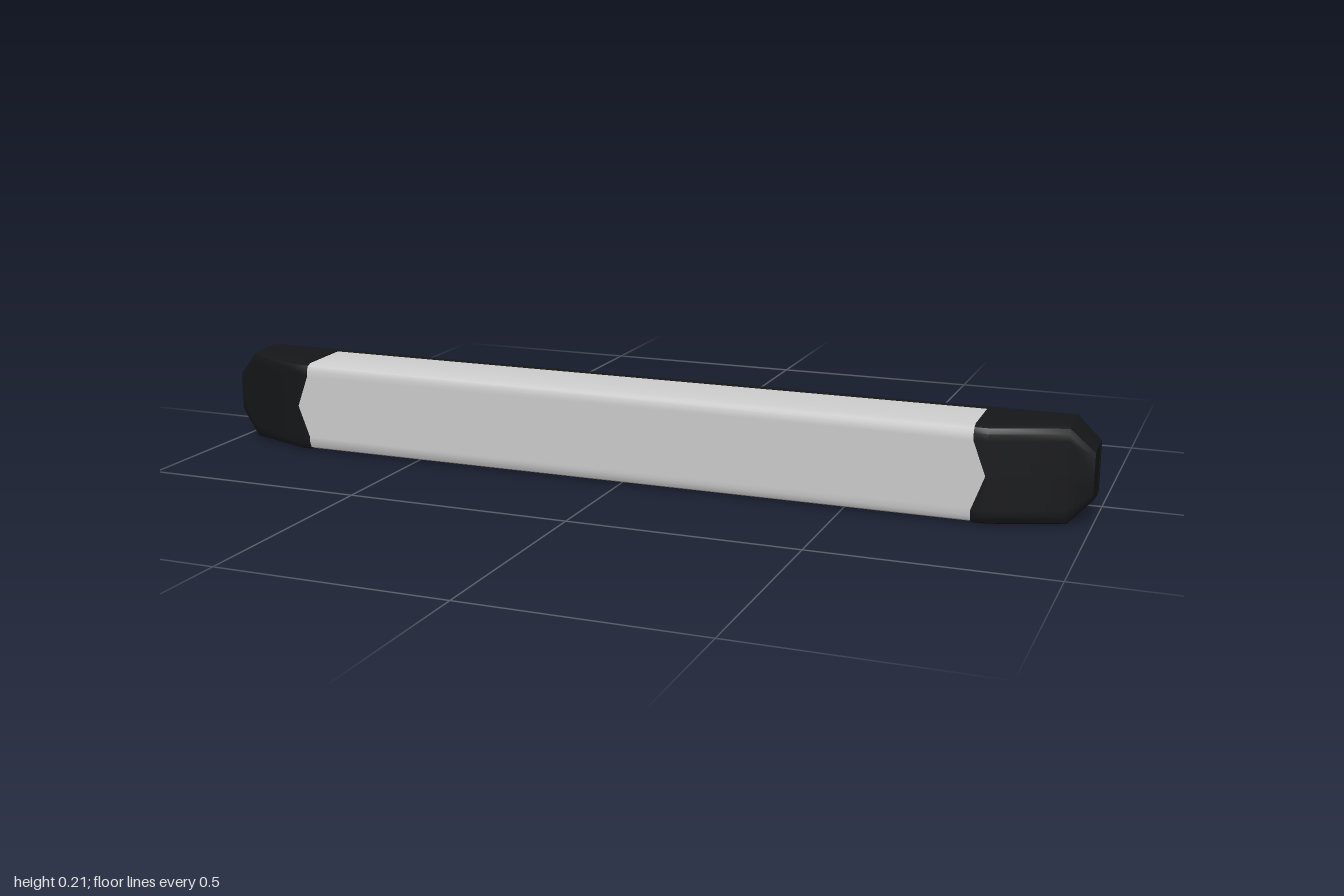
import * as THREE from 'three';
import { toCreasedNormals } from 'three/addons/utils/BufferGeometryUtils.js';

const CY = 0.108; // height of the lamp's long axis
const black = new THREE.MeshStandardMaterial({ color: 0x151618 });
const grey = new THREE.MeshStandardMaterial({ color: 0xcccccc });

// Housing cross-section as [z, y] pairs: flat back, slightly tapered sides, rounded front corners
function section(back, front, h) {
  const hf = h - 0.0035;
  const lower = [[back, -h], [front - 0.016, -hf], [front - 0.005, -hf + 0.005], [front, -hf + 0.016], [front, -h * 0.68]];
  const upper = lower.map(([z, y]) => [z, -y]).reverse();
  return [...lower, [front, 0], ...upper];
}

// Skin a list of rings (arrays of [x, y, z]) running towards +x and close both ends
function loft(rings) {
  const pos = [], index = [], n = rings[0].length;
  rings.forEach(r => r.forEach(p => pos.push(...p)));
  for (let i = 0; i < rings.length - 1; i++) {
    for (let j = 0; j < n; j++) {
      const a = i * n + j, b = i * n + (j + 1) % n;
      index.push(a, a + n, b, b, a + n, b + n);
    }
  }
  const last = (rings.length - 1) * n;
  for (let j = 1; j < n - 1; j++) {
    index.push(0, j, j + 1, last, last + j + 1, last + j);
  }
  const g = new THREE.BufferGeometry();
  g.setAttribute('position', new THREE.Float32BufferAttribute(pos, 3));
  g.setIndex(index);
  return toCreasedNormals(g, 0.5);
}

// Extrude a shape from z0 to z1
function slab(shape, z0, z1) {
  const g = new THREE.ExtrudeGeometry(shape, { depth: z1 - z0, bevelEnabled: false, curveSegments: 24 });
  g.translate(0, 0, z0);
  return toCreasedNormals(g, 0.5);
}

function disc(r, x = 0) {
  return new THREE.Shape().absarc(x, 0, r, 0, Math.PI * 2, false);
}

function ring(outer, inner) {
  const s = disc(outer);
  s.holes.push(disc(inner));
  return s;
}

// Long plate outline with cut corners
function outline(x, h, cutX, cutY) {
  return new THREE.Shape([
    [x, h - cutY], [x - cutX, h], [cutX - x, h], [-x, h - cutY],
    [-x, cutY - h], [cutX - x, -h], [x - cutX, -h], [x, cutY - h],
  ].map(p => new THREE.Vector2(...p)));
}

export function createModel() {
  const model = new THREE.Group();
  const lamp = new THREE.Group();
  lamp.name = 'lamp';
  lamp.position.y = CY;
  model.add(lamp);
  const add = (name, geometry, material, parent = lamp) => {
    const mesh = new THREE.Mesh(geometry, material);
    mesh.name = name;
    parent.add(mesh);
    return mesh;
  };

  // Translucent lens along the middle
  add('lens', loft([-0.8, 0.8].map(x => section(0.094, 0.2305, 0.1045).map(([z, y]) => [x, y, z]))), grey);

  // End caps: notched inner edge, sloping front, cut outer corners
  const capRings = [
    [0.77, 0.232, 0.1065], [0.8, 0.232, 0.1065], [0.95, 0.176, 0.1065], [1, 0.155, 0.056],
  ].map(([x, front, h], i) => section(0.091, front, h).map(([z, y]) => {
    const notch = i === 0 ? 0.027 * Math.max(0, 1 - Math.abs(y) / 0.072) : 0;
    return [x + notch, y, z];
  }));
  const capGeometry = loft(capRings);
  add('leftEndCap', capGeometry, black);
  add('rightEndCap', capGeometry, black).rotation.z = Math.PI;

  // Back plate with screw holes, and the gasket in the seam
  const plate = outline(1, 0.104, 0.05, 0.05);
  plate.holes.push(disc(0.027, 0.91), disc(0.027, -0.91));
  add('backPlate', slab(plate, 0.07, 0.084), black);
  add('gasket', slab(outline(0.84, 0.099, 0.02, 0.02), 0.084, 0.095), black);

  // Metal screw bushings with a hex socket
  for (const side of [1, -1]) {
    const bushing = new THREE.Group();
    bushing.name = side > 0 ? 'leftBushing' : 'rightBushing';
    bushing.position.x = side * 0.91;
    lamp.add(bushing);
    add('bushingRing', slab(ring(0.026, 0.017), 0.069, 0.085), grey, bushing);
    add('bushingSleeve', slab(disc(0.019), 0.083, 0.093), grey, bushing);
    const hex = new THREE.CylinderGeometry(0.009, 0.009, 0.006, 6).rotateX(Math.PI / 2);
    hex.translate(0, 0, 0.0815);
    add('screwSocket', hex, black, bushing);
  }

  // Hollow cable collar with a hub and three ribs inside
  const collar = [[0.045, 0.07], [0.076, 0.07], [0.073, -0.022], [0.06, -0.022], [0.06, 0.035], [0, 0.035]];
  const collarGeometry = new THREE.LatheGeometry(collar.map(([r, z]) => new THREE.Vector2(r, -z)), 40);
  collarGeometry.rotateX(-Math.PI / 2);
  add('collar', toCreasedNormals(collarGeometry, 0.5),
    new THREE.MeshStandardMaterial({ color: 0x151618, side: THREE.DoubleSide }));
  add('collarHub', slab(ring(0.03, 0.022), -0.018, 0.036), black);
  for (let i = 0; i < 3; i++) {
    const a = Math.PI / 2 + i * Math.PI * 2 / 3;
    const rib = add('collarRib', new THREE.BoxGeometry(0.036, 0.012, 0.05), black);
    rib.position.set(Math.cos(a) * 0.045, Math.sin(a) * 0.045, 0.01);
    rib.rotation.z = a;
  }

  // Drooping cable with closed ends
  const path = new THREE.CatmullRomCurve3([
    [0.001, -0.044], [0.005, -0.075], [0.0075, -0.105], [-0.002, -0.138],
    [-0.026, -0.167], [-0.052, -0.194], [-0.078, -0.218],
  ].map(([y, z]) => new THREE.Vector3(0, y, z)));
  const R = 0.0205;
  add('cable', new THREE.TubeGeometry(path, 40, R, 20), black);
  for (const t of [0, 1]) {
    const end = add('cableEnd', new THREE.CircleGeometry(R, 20), black);
    const p = path.getPointAt(t);
    const d = path.getTangentAt(t).multiplyScalar(t ? 1 : -1);
    end.position.copy(p);
    end.quaternion.setFromUnitVectors(new THREE.Vector3(0, 0, 1), d);
  }
  return model;
}
